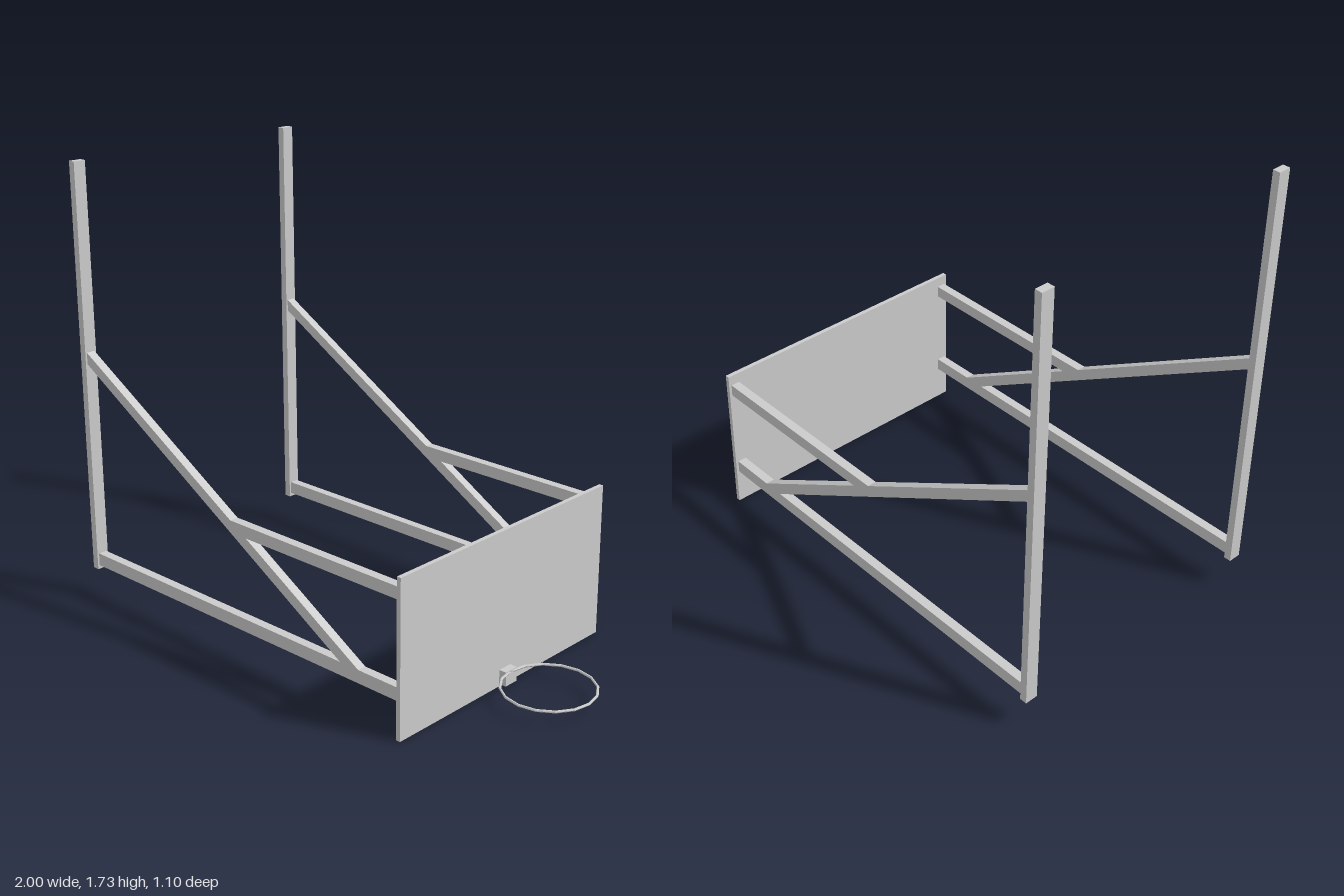
import * as THREE from 'three';

export function createModel() {
  const model = new THREE.Group();
  const material = new THREE.MeshStandardMaterial({ color: 0xcccccc, flatShading: true });

  function add(parent, name, geometry, x = 0, y = 0, z = 0) {
    const mesh = new THREE.Mesh(geometry, material);
    mesh.name = name;
    mesh.position.set(x, y, z);
    parent.add(mesh);
    return mesh;
  }

  // Box given by its limits in x and y, centred on z = 0
  function bar(parent, name, x0, x1, y0, y1, depth) {
    const geometry = new THREE.BoxGeometry(x1 - x0, y1 - y0, depth);
    return add(parent, name, geometry, (x0 + x1) / 2, (y0 + y1) / 2, 0);
  }

  // Beam with mitred ends, from its side outline
  function mitredBeam(parent, name, corners, depth) {
    const shape = new THREE.Shape(corners.map(([x, y]) => new THREE.Vector2(x, y)));
    const geometry = new THREE.ExtrudeGeometry(shape, { depth, bevelEnabled: false });
    return add(parent, name, geometry, 0, 0, -depth / 2);
  }

  // Two matching side frames: post, lower beam, diagonal brace and upper beam
  const beamDepth = 0.035;
  for (const side of [-1, 1]) {
    const frame = new THREE.Group();
    frame.name = side > 0 ? 'frontSideFrame' : 'backSideFrame';
    frame.position.z = side * 0.522;
    bar(frame, 'post', -1, -0.972, 0.125, 1.73, 0.05);
    bar(frame, 'lowerBeam', -0.972, 0.613, 0.14, 0.19, beamDepth);
    mitredBeam(frame, 'diagonalBrace',
      [[-0.972, 0.965], [0.345, 0.19], [0.43, 0.19], [-0.972, 1.01]], beamDepth);
    mitredBeam(frame, 'upperBeam',
      [[-0.115, 0.508], [0.613, 0.508], [0.613, 0.554], [-0.195, 0.554]], beamDepth);
    model.add(frame);
  }

  // Backboard, rim bracket and rim
  bar(model, 'backboard', 0.613, 0.63, 0, 0.595, 1.1);
  bar(model, 'rimBracket', 0.63, 0.66, 0.01, 0.065, 0.06);
  const rim = new THREE.TorusGeometry(0.17, 0.005, 6, 16).rotateX(Math.PI / 2);
  add(model, 'rim', rim, 0.825, 0.057, 0);

  return model;
}
